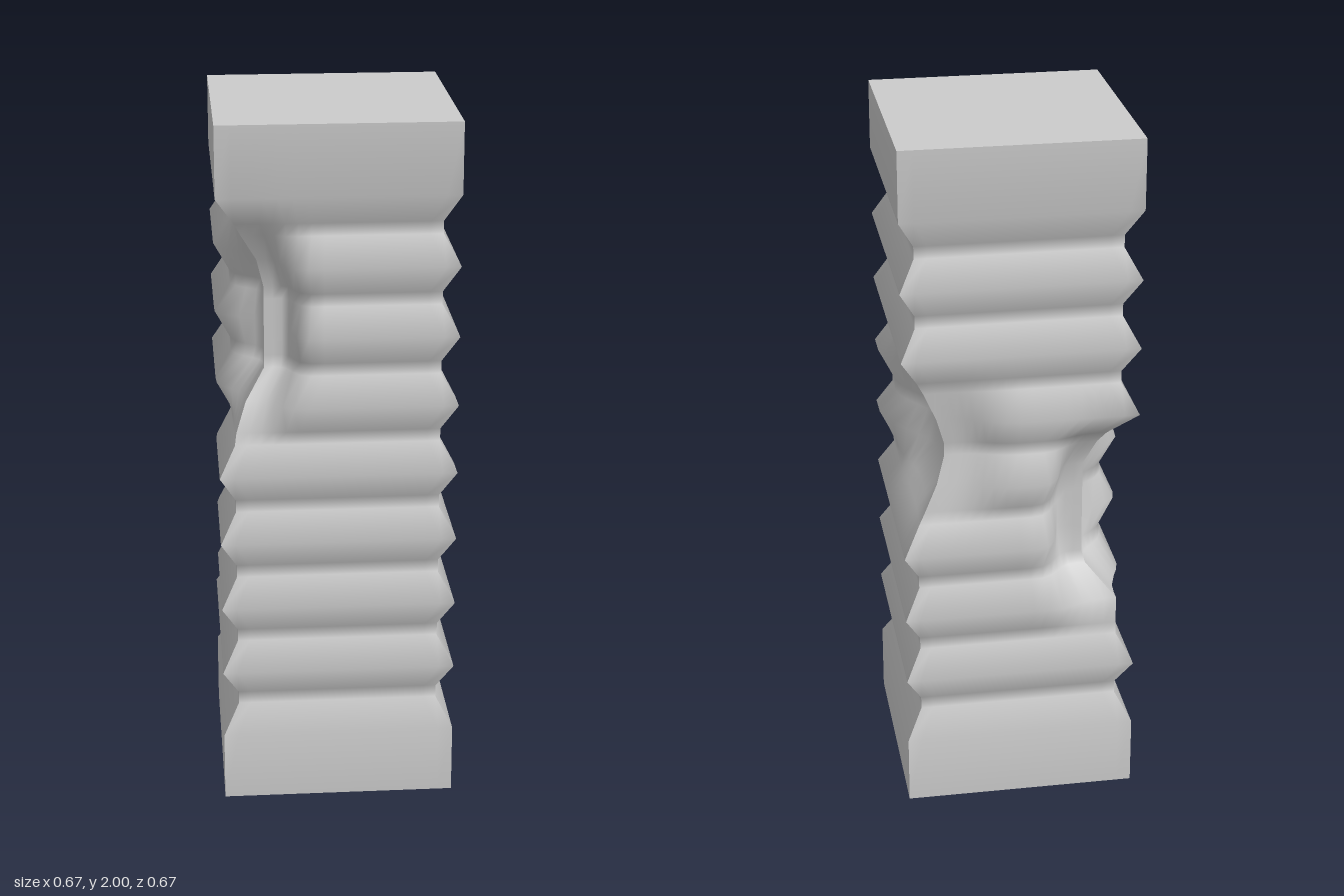
import * as THREE from 'three';

const OUT = 0.333, IN = 0.288;

// Height and half-width of every ring: plain ends, pleated middle
function makeRings() {
  const rings = [[0, OUT], [0.2, OUT]];
  for (let i = 0; i < 8; i++) {
    const y = 0.3 + i * 0.2;
    rings.push([y - 0.018, IN], [y + 0.018, IN], [y + 0.1, OUT]);
  }
  rings.splice(-1, 1, [1.8, OUT]);
  rings.splice(2, 0);
  return rings.concat([[2, OUT]]);
}

// Worn hollows: centre, reach, and the half-widths they sink to
const dents = [
  { c: [0.333, 1.1, -0.13], r: [0.36, 0.25, 0.38], level: [0.195, 0.25] },
  { c: [-0.333, 1.42, 0.333], r: [0.25, 0.33, 0.3], level: [0.2, 0.2] },
  { c: [-0.333, 0.86, -0.333], r: [0.28, 0.34, 0.32], level: [0.2, 0.2] },
];

function dentWeight(p, { c, r }) {
  const q = p.reduce((s, v, i) => s + Math.abs((v - c[i]) / r[i]) ** 3, 0) ** (1 / 3);
  return 1 - THREE.MathUtils.smoothstep(q, 0.4, 1);
}

export function createModel() {
  const rings = makeRings();
  const rows = rings.length - 1, cols = 16;

  // Unit box whose rows are remapped onto the pleated rings
  const geo = new THREE.BoxGeometry(2, rows, 2, cols, rows, cols);
  const pos = geo.attributes.position;
  for (let i = 0; i < pos.count; i++) {
    const u = pos.getX(i), v = pos.getZ(i);
    const [y, half] = rings[Math.round(pos.getY(i) + rows / 2)];
    let hx = half, hz = half;
    for (const d of dents) {
      const w = dentWeight([u * OUT, y, v * OUT], d);
      hx = THREE.MathUtils.lerp(hx, d.level[0], w);
      hz = THREE.MathUtils.lerp(hz, d.level[1], w);
    }
    pos.setXYZ(i, u * hx, y, v * hz);
  }
  geo.computeVertexNormals();

  const pillar = new THREE.Mesh(geo, new THREE.MeshStandardMaterial({ color: 0xcccccc }));
  pillar.name = 'pleatedPillar';
  const group = new THREE.Group();
  group.name = 'wornPillar';
  group.add(pillar);
  return group;
}
